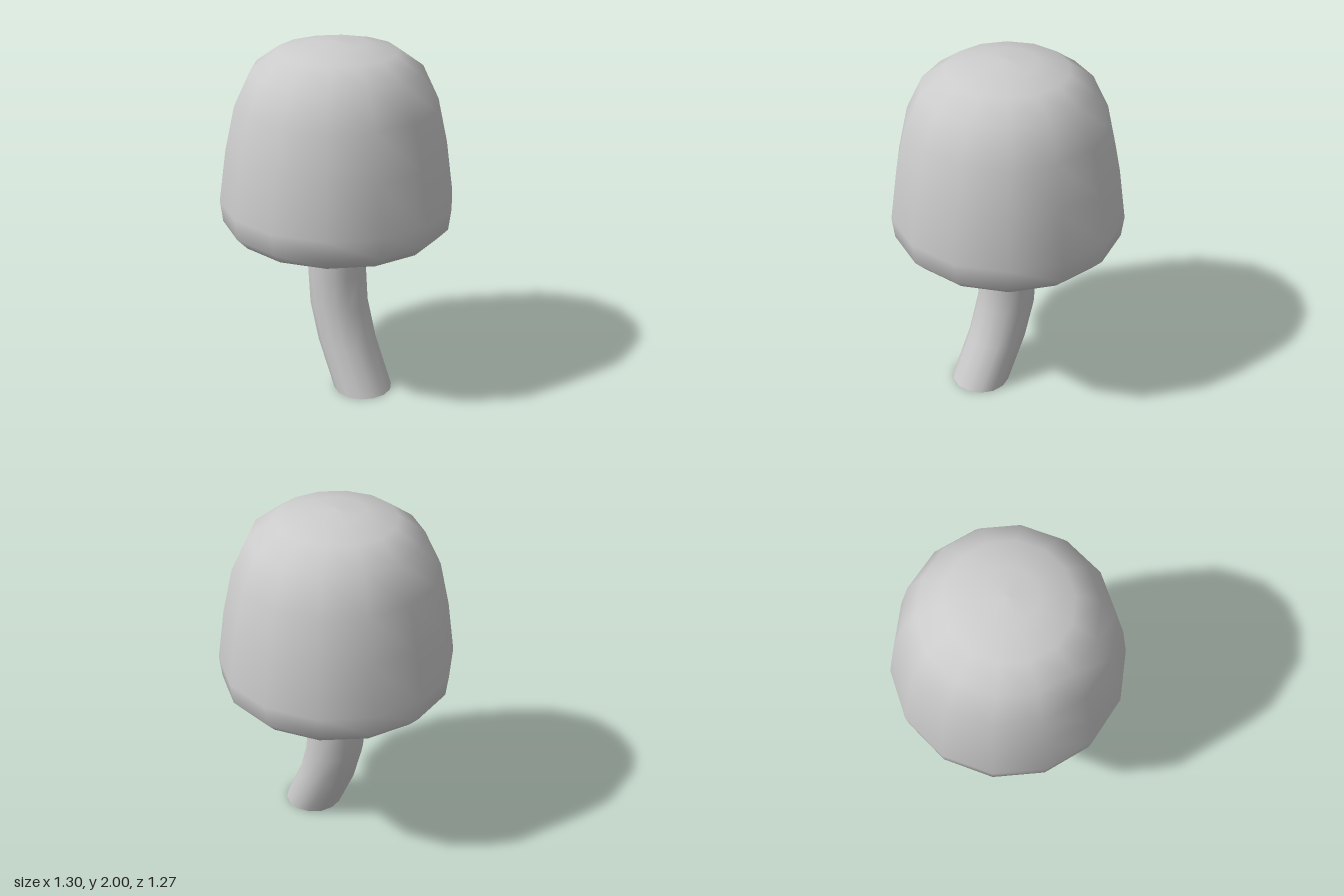
import * as THREE from 'three';

const SIDES = 14;

export function createModel() {
  const model = new THREE.Group();
  const material = new THREE.MeshStandardMaterial({ color: 0xcccccc, side: THREE.DoubleSide });

  // Cap: closed bell profile from the flat underside up to the crown
  const profile = [
    [0, 0.915], [0.22, 0.912], [0.47, 0.91], [0.575, 0.937], [0.635, 1.0], [0.65, 1.12],
    [0.61, 1.41], [0.555, 1.66], [0.465, 1.85], [0.33, 1.947], [0.16, 1.99], [0, 2],
  ].map(([r, y]) => new THREE.Vector2(r, y));
  const cap = new THREE.Mesh(new THREE.LatheGeometry(profile, SIDES, Math.PI / 2), material);
  cap.name = 'cap';
  model.add(cap);

  // Stem: open tube of level rings, its foot swept towards +x
  const rings = [[0.205, 0], [0.08, 0.265], [0.015, 0.48], [0, 0.67], [-0.002, 0.92]];
  const last = rings.length - 1;
  const stemGeometry = new THREE.CylinderGeometry(0.165, 0.165, last, SIDES, last, true, Math.PI / 2);
  const position = stemGeometry.attributes.position;
  for (let i = 0; i < position.count; i++) {
    const [x, y] = rings[Math.round(position.getY(i) + last / 2)];
    position.setX(i, position.getX(i) + x);
    position.setY(i, y);
  }
  // Tilt the smooth normals with the bend: the shear of x along y
  const normal = stemGeometry.attributes.normal;
  const n = new THREE.Vector3();
  for (let i = 0; i < normal.count; i++) {
    const k = rings.findIndex((ring) => Math.abs(ring[1] - position.getY(i)) < 1e-4);
    const a = rings[Math.max(k - 1, 0)];
    const b = rings[Math.min(k + 1, last)];
    const slope = (b[0] - a[0]) / (b[1] - a[1]);
    n.fromBufferAttribute(normal, i);
    n.y = -slope * n.x;
    n.normalize();
    normal.setXYZ(i, n.x, n.y, n.z);
  }
  const stem = new THREE.Mesh(stemGeometry, material);
  stem.name = 'stem';
  model.add(stem);

  return model;
}
